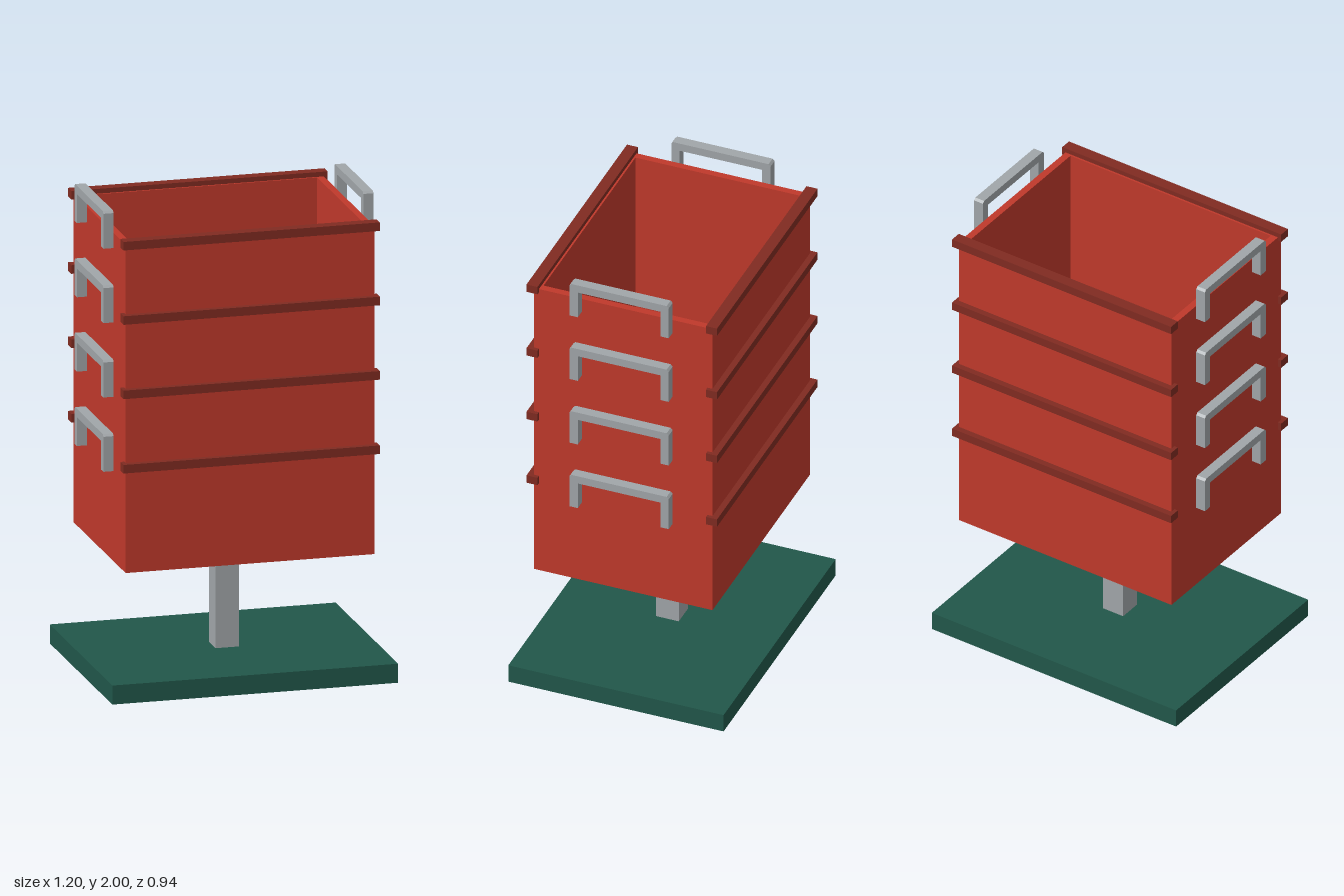
import * as THREE from 'three';

const mat = (name, color) => {
  const m = new THREE.MeshStandardMaterial({ color });
  m.name = name;
  return m;
};

export function createModel() {
  const red = mat('red', 0xc0392b);
  const darkRed = mat('dark red', 0x802b21);
  const green = mat('green', 0x21574a);
  const grey = mat('grey', 0xa1a6a9);

  const model = new THREE.Group();
  model.name = 'crateStand';

  const add = (name, geometry, material, x = 0, y = 0, z = 0) => {
    const mesh = new THREE.Mesh(geometry, material);
    mesh.name = name;
    mesh.position.set(x, y, z);
    model.add(mesh);
    return mesh;
  };
  const box = (w, h, d) => new THREE.BoxGeometry(w, h, d);

  // Base plate, post and the loose floor panel that rests on it
  add('base', box(1.2, 0.08, 0.94), green, 0, 0.04, 0);
  add('post', box(0.1, 0.45, 0.1), grey, 0, 0.305, 0);
  add('floorPanel', box(0.884, 0.025, 0.626), darkRed, 0, 0.5425, 0);

  // Open bin: rectangular tube extruded upward
  const rect = (target, w, d) => {
    target.moveTo(-w, -d);
    target.lineTo(w, -d);
    target.lineTo(w, d);
    target.lineTo(-w, d);
    target.closePath();
    return target;
  };
  const wall = rect(new THREE.Shape(), 0.522, 0.39);
  wall.holes.push(rect(new THREE.Path(), 0.492, 0.36));
  const bin = new THREE.ExtrudeGeometry(wall, { depth: 1.38, bevelEnabled: false });
  bin.rotateX(-Math.PI / 2);
  add('binWalls', bin, red, 0, 0.525, 0);

  // Handle: square U with slightly chamfered top corners, centred across x
  const outline = [
    [-0.217, -0.156], [-0.18, -0.156], [-0.18, -0.035], [0.18, -0.035], [0.18, -0.156],
    [0.217, -0.156], [0.217, -0.009], [0.208, 0], [-0.208, 0], [-0.217, -0.009],
  ].map(([z, y]) => new THREE.Vector2(z, y));
  const handle = new THREE.ExtrudeGeometry(new THREE.Shape(outline), { depth: 0.043, bevelEnabled: false });
  handle.translate(0, 0, -0.0215);
  handle.rotateY(Math.PI / 2);

  // Four levels of rails (front and back) and handles (both ends)
  const rail = box(1.076, 0.036, 0.048);
  for (let i = 0; i < 4; i++) {
    const drop = i * 0.3125;
    for (const side of [1, -1]) {
      add(side > 0 ? 'frontRail' : 'backRail', rail, darkRed, 0, 1.907 - drop, side * 0.392);
      add(side > 0 ? 'leftHandle' : 'rightHandle', handle, grey, side * 0.5455, 2 - drop, 0);
    }
  }
  return model;
}
